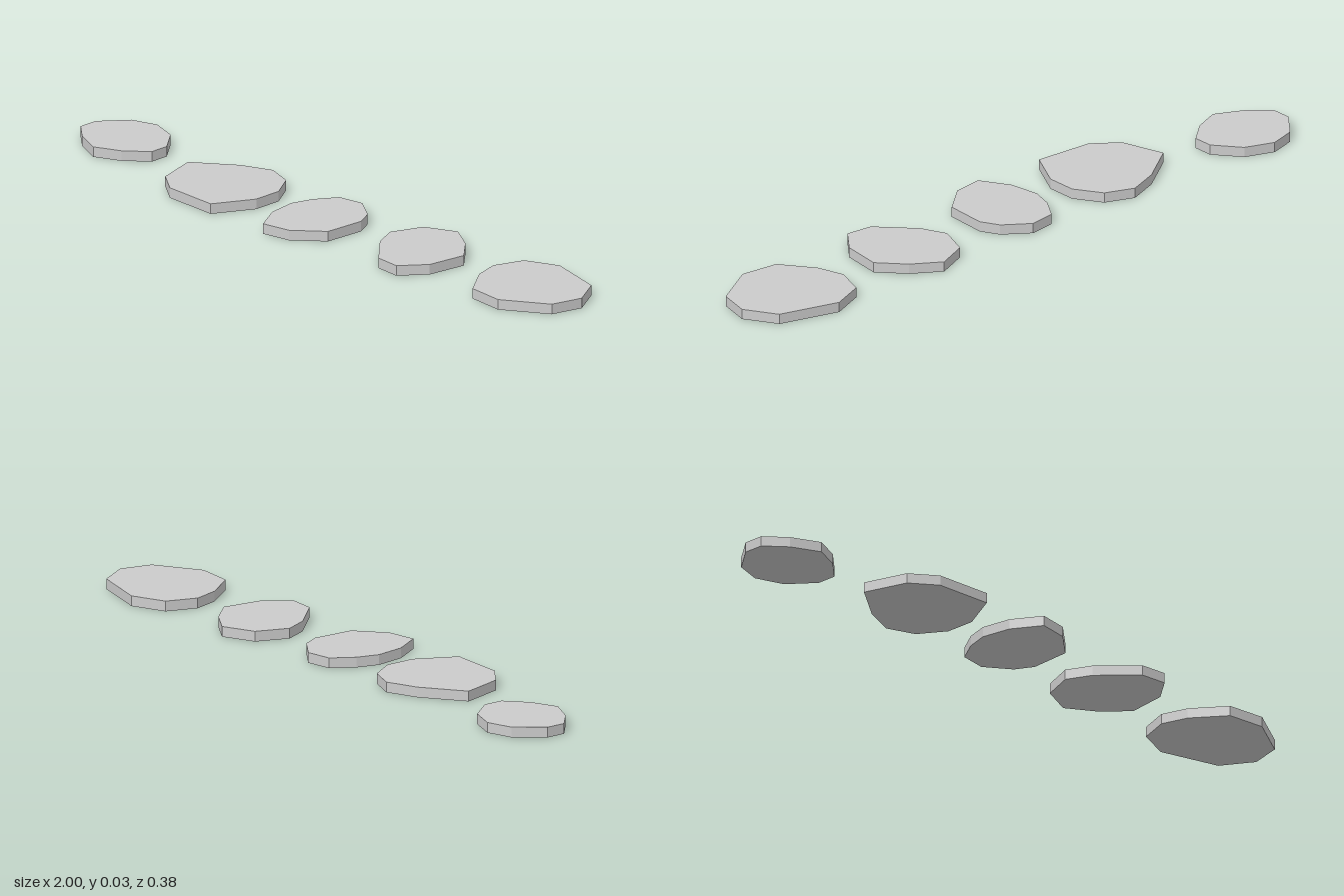
import * as THREE from 'three';

const THICKNESS = 0.03;

// Outline of each stepping stone on the ground, as [x, z] corners
const OUTLINES = {
  farRightStone: [[-0.855, -0.19], [-0.77, -0.157], [-0.71, -0.08], [-0.71, -0.02], [-0.775, 0.035],
    [-0.855, 0.067], [-0.94, 0.025], [-1, -0.03], [-1, -0.09], [-0.935, -0.168]],
  rightStone: [[-0.36, -0.15], [-0.275, -0.115], [-0.226, -0.035], [-0.226, 0.055], [-0.29, 0.173],
    [-0.465, 0.158], [-0.54, 0.1], [-0.578, -0.03], [-0.455, -0.115]],
  middleStone: [[-0.07, -0.12], [0.01, -0.13], [0.085, -0.075], [0.113, -0.02], [0.105, 0.105],
    [0.02, 0.175], [-0.07, 0.187], [-0.12, 0.1], [-0.133, 0.01], [-0.113, -0.055]],
  leftStone: [[0.367, -0.15], [0.45, -0.095], [0.517, -0.02], [0.5, 0.1], [0.44, 0.173],
    [0.36, 0.163], [0.265, 0.06], [0.232, -0.015], [0.27, -0.11]],
  farLeftStone: [[0.767, -0.15], [0.945, -0.095], [1, 0], [0.975, 0.095], [0.84, 0.173],
    [0.725, 0.158], [0.655, 0.06], [0.632, -0.02], [0.665, -0.11]],
};

// Flat slab with straight sides, standing on the ground
function makeStone(name, outline, material) {
  const shape = new THREE.Shape(outline.map(([x, z]) => new THREE.Vector2(x, -z)));
  const geometry = new THREE.ExtrudeGeometry(shape, { depth: THICKNESS, bevelEnabled: false });
  geometry.rotateX(-Math.PI / 2);
  const stone = new THREE.Mesh(geometry, material);
  stone.name = name;
  return stone;
}

export function createModel() {
  const group = new THREE.Group();
  group.name = 'steppingStones';
  const material = new THREE.MeshStandardMaterial({ color: 0xcccccc, flatShading: true });
  for (const [name, outline] of Object.entries(OUTLINES)) {
    group.add(makeStone(name, outline, material));
  }
  return group;
}
